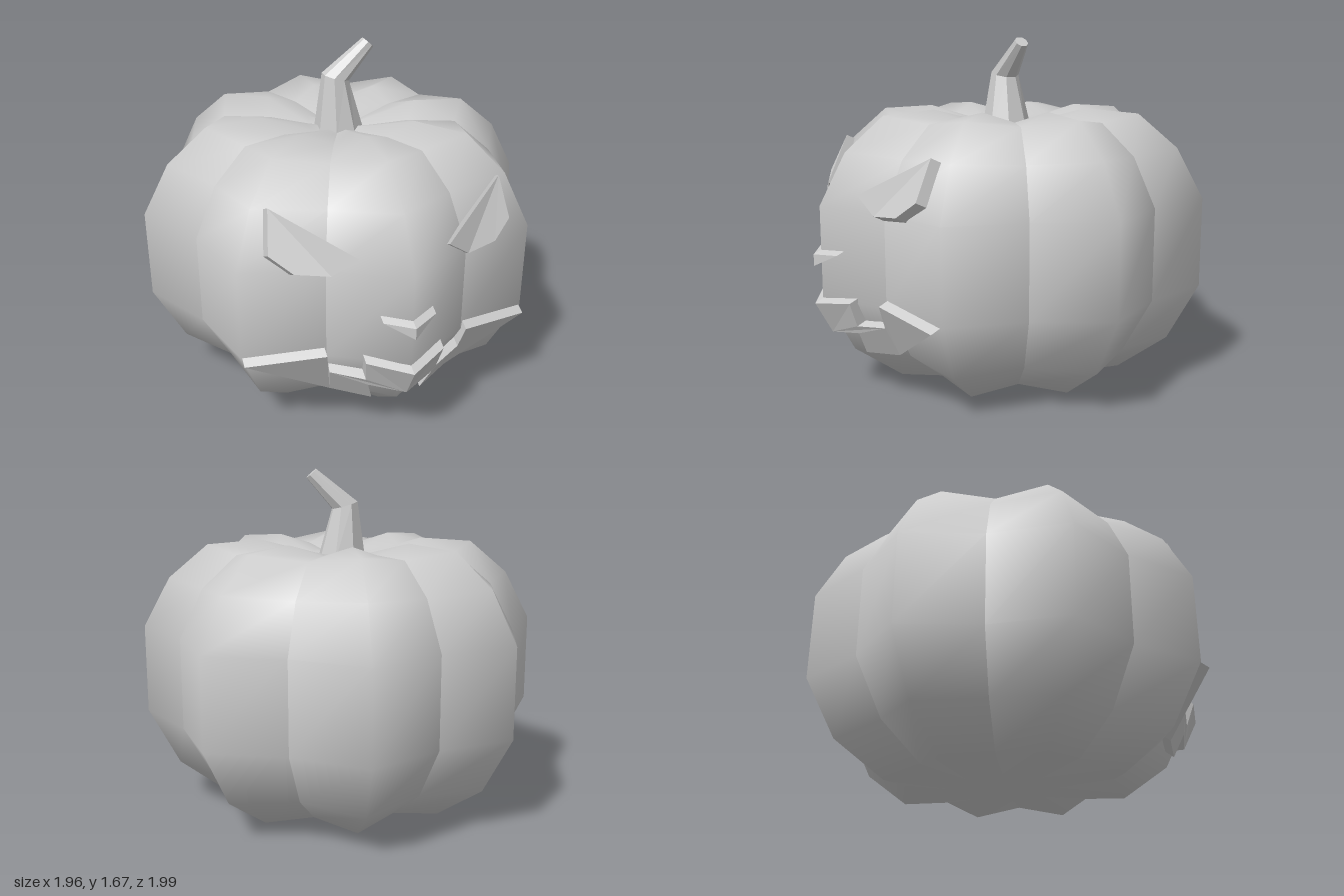
import * as THREE from 'three';

const CENTRE_Z = -0.02;

// Rows of vertices become a surface; each row holds the same number of points
function gridGeometry(rows) {
  const n = rows[0].length, index = [];
  for (let i = 0; i < rows.length - 1; i++) {
    for (let j = 0; j < n - 1; j++) {
      const a = i * n + j, b = a + 1, d = a + n, c = d + 1;
      index.push(a, b, c, a, c, d);
    }
  }
  return { positions: rows.flat(2), index, count: rows.length * n };
}

function toGeometry(positions, index) {
  const g = new THREE.BufferGeometry();
  g.setAttribute('position', new THREE.Float32BufferAttribute(positions, 3));
  g.setIndex(index);
  g.computeVertexNormals();
  return g;
}

// Eight lobes, each smooth over its ridge and creased at the valleys
function makeBody(material) {
  // ridge radius, ridge height, valley radius, valley height
  const profile = [
    [0, 0, 0, 0], [0.59, 0.025, 0.5, 0.06], [0.83, 0.2, 0.71, 0.22],
    [0.978, 0.48, 0.855, 0.48], [0.978, 0.91, 0.855, 0.91],
    [0.85, 1.15, 0.74, 1.135], [0.66, 1.31, 0.565, 1.28],
    [0.4, 1.33, 0.34, 1.28], [0.17, 1.27, 0.15, 1.25], [0, 1.24, 0, 1.24],
  ];
  const positions = [], index = [];
  for (let lobe = 0; lobe < 8; lobe++) {
    const rows = profile.map(([rr, ry, vr, vy]) => [-1, 0, 1].map((k) => {
      const a = (lobe * 2 + k) * Math.PI / 8;
      const r = k ? vr : rr;
      return [r * Math.sin(a), k ? vy : ry, r * Math.cos(a) + CENTRE_Z];
    }));
    const g = gridGeometry(rows), start = positions.length / 3;
    positions.push(...g.positions);
    index.push(...g.index.map((i) => i + start));
  }
  const mesh = new THREE.Mesh(toGeometry(positions, index), material);
  mesh.name = 'body';
  return mesh;
}

// Bent, tapering eight-sided stem
function makeStem(material) {
  // x, y, radius, tilt
  const sections = [
    [0, 1.22, 0.124, 0], [-0.017, 1.495, 0.068, -0.28],
    [0.148, 1.65, 0.034, -0.73], [0.148, 1.65, 0, -0.73],
  ];
  const rows = sections.map(([x, y, r, tilt]) =>
    Array.from({ length: 9 }, (_, j) => {
      const a = -(j + 0.5) * Math.PI / 4;
      const u = r * Math.cos(a);
      return [x + u * Math.cos(tilt), y + u * Math.sin(tilt), CENTRE_Z + r * Math.sin(a)];
    }));
  const g = gridGeometry(rows);
  const mesh = new THREE.Mesh(toGeometry(g.positions, g.index), material);
  mesh.name = 'stem';
  return mesh;
}

// Raised plate: an outline laid on the body and pushed out along a direction.
// The outline is the +x half, counter-clockwise; side -1 mirrors it.
function makePlate(name, body, outline, push, side, material) {
  const ray = new THREE.Raycaster();
  const back = new THREE.Vector3(0, 0, -1);
  const base = [], cap = [];
  for (const [x, y] of outline) {
    ray.set(new THREE.Vector3(x + 0.002, y, 3), back);
    const hit = ray.intersectObject(body)[0];
    const z = hit ? hit.point.z : 0.66;
    base.push([side * (x - push[0] * 0.5), y - push[1] * 0.5, z - push[2] * 0.5]);
    cap.push([side * (x + push[0]), y + push[1], z + push[2]]);
  }
  const n = outline.length;
  const points = outline.map(([x, y]) => new THREE.Vector2(x, y));
  const faces = THREE.ShapeUtils.triangulateShape(points, []).map((f) => f.map((i) => i + n));
  for (let i = 0; i < n; i++) {
    const j = (i + 1) % n;
    if (outline[i][0] === 0 && outline[j][0] === 0) continue; // middle seam
    faces.push([i, j, n + j], [i, n + j, n + i]);
  }
  if (side < 0) faces.forEach((f) => f.reverse());
  const mesh = new THREE.Mesh(toGeometry([...base, ...cap].flat(), faces.flat()), material);
  mesh.name = name;
  return mesh;
}

export function createModel() {
  const smooth = new THREE.MeshStandardMaterial({ color: 0xcccccc });
  const faceted = new THREE.MeshStandardMaterial({ color: 0xcccccc, flatShading: true });
  const group = new THREE.Group();
  group.name = 'carvedPumpkin';

  const body = makeBody(smooth);
  body.updateMatrixWorld(true);
  group.add(body, makeStem(faceted));

  const eye = [[0.545, 1.15], [0.215, 0.96], [0.325, 0.88], [0.476, 0.895], [0.57, 0.97]];
  const nose = [[0, 0.65], [0.122, 0.715], [0, 0.705]];
  const mouth = [
    [0, 0.325], [0.155, 0.35], [0.12, 0.24], [0.29, 0.262], [0.685, 0.48],
    [0.335, 0.52], [0.315, 0.41], [0.17, 0.39], [0.185, 0.505], [0, 0.475],
  ];

  // Face, mirrored left and right
  for (const side of [1, -1]) {
    const label = side > 0 ? 'left' : 'right';
    group.add(
      makePlate(label + 'Eye', body, eye, [-0.008, 0.022, 0.045], side, faceted),
      makePlate(label + 'NoseHalf', body, nose, [0, -0.018, 0.038], side, faceted),
      makePlate(label + 'MouthHalf', body, mouth, [0, -0.022, 0.042], side, faceted),
    );
  }
  return group;
}
